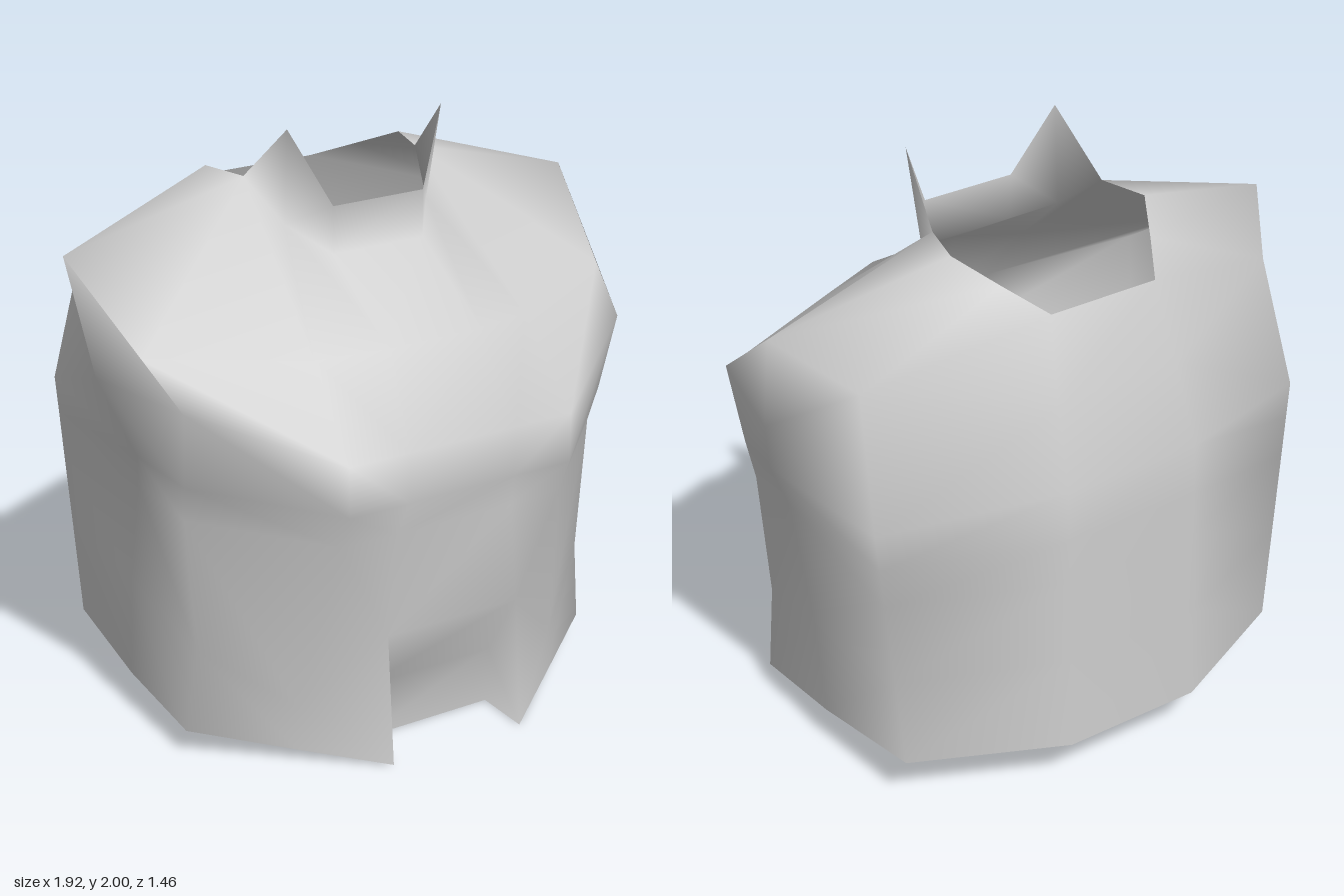
import * as THREE from 'three';
import { mergeVertices } from 'three/addons/utils/BufferGeometryUtils.js';

const mirror = ([x, y, z]) => [-x, y, z];

// Smooth surface from a list of triangles, sharing equal corners
function smoothSurface(triangles) {
  const geometry = new THREE.BufferGeometry();
  geometry.setAttribute('position', new THREE.Float32BufferAttribute(triangles.flat(2), 3));
  const merged = mergeVertices(geometry, 1e-4);
  merged.computeVertexNormals();
  return merged;
}

// Two triangles; corners run counter-clockwise seen from outside, split from a to c
const quad = (a, b, c, d) => [[a, b, c], [a, c, d]];
const mirrorTris = (tris) => tris.map(([a, b, c]) => [mirror(a), mirror(c), mirror(b)]);

// Left half of each cross-section, from front to back, hem up to neck
const hem = [[0.25, 0, 0.73], [0.5, 0.04, 0.54], [0.79, 0.09, 0.32], [0.79, 0.13, -0.06], [0.75, 0.17, -0.5], [0.25, 0.17, -0.73]];
const hip = [[0.25, 0.45, 0.69], [0.5, 0.2, 0.54], [0.755, 0.38, 0.34], [0.8, 0.5, -0.02], [0.779, 0.5, -0.493], [0.25, 0.5, -0.716]];
const waist = [[0.22, 0.8, 0.69], [0.42, 0.8, 0.68], [0.79, 0.85, 0.34], [0.815, 0.89, 0.08], [0.806, 0.8, -0.486], [0.25, 0.8, -0.704]];
const ribs = [[0.2, 0.92, 0.73], [0.42, 0.92, 0.73], [0.805, 0.98, 0.375], [0.845, 1.01, 0.14], [0.818, 0.94, -0.483], [0.25, 0.95, -0.6975]];
const chest = [[0.2, 1.09, 0.73], [0.42, 1.09, 0.73], [0.83, 1.25, 0.43], [0.92, 1.25, 0.02], [0.83, 1.07, -0.48], [0.25, 1.13, -0.69]];
const shoulder = [[0.17, 1.38, 0.57], [0.4, 1.36, 0.49], [0.875, 1.38, 0.245], [0.96, 1.63, -0.1], [0.79, 1.5, -0.35], [0.23, 1.4, -0.605]];
const neck = [[0.17, 1.59, 0.23], [0.27, 1.67, 0.1], [0.33, 1.8, -0.06], [0.375, 1.8, -0.23], [0.29, 1.735, -0.375], [0.2, 1.67, -0.52]];

// Torso wall: six bands of five faces per side, plus the middle strips
function torsoWall() {
  const rows = [hem, hip, waist, ribs, chest, shoulder, neck];
  const half = [];
  const middle = [];
  for (let r = 0; r < rows.length - 1; r++) {
    const low = rows[r], high = rows[r + 1];
    for (let c = 0; c < 5; c++) {
      // the shoulder ridge runs from the shoulder tip to the collar
      const ridge = high === neck && c === 2;
      half.push(...(ridge
        ? quad(low[c + 1], high[c + 1], high[c], low[c])
        : quad(low[c], low[c + 1], high[c + 1], high[c])));
    }
    middle.push(...quad(low[5], mirror(low[5]), mirror(high[5]), high[5]));
    // the front stays open below the hip for the hem notch
    if (r > 0) middle.push(...quad(mirror(low[0]), low[0], high[0], mirror(high[0])));
  }
  return [...half, ...mirrorTris(half), ...middle];
}

// Recessed panel in the front of the hem, with its side walls
function hemNotch() {
  const top = hip[0], bend = [0.25, 0.2, 0.54], foot = [0.25, 0, 0.53];
  const wall = [[top, bend, hem[0]], [bend, foot, hem[0]]];
  return [
    ...wall, ...mirrorTris(wall),
    ...quad(mirror(bend), bend, top, mirror(top)),
    ...quad(mirror(foot), foot, bend, mirror(bend)),
  ];
}

// Pointed flap on each side, joined by a low front band
function collar() {
  const [front, side, back] = neck;
  const rim = [0.17, 1.75, 0.23], tip = [0.29, 2, 0.15];
  const flap = [[front, side, rim], [rim, side, tip], [side, back, tip]];
  return [...flap, ...mirrorTris(flap), ...quad(mirror(front), front, rim, mirror(rim))];
}

export function createModel() {
  const group = new THREE.Group();
  group.name = 'breastplate';
  const lightGrey = new THREE.MeshStandardMaterial({ color: 0xcccccc, side: THREE.DoubleSide });
  lightGrey.name = 'light grey';

  // one shell, so the shading runs smoothly into the notch and collar
  const shell = new THREE.Mesh(smoothSurface([...torsoWall(), ...hemNotch(), ...collar()]), lightGrey);
  shell.name = 'torsoShellWithCollar';
  group.add(shell);
  return group;
}
